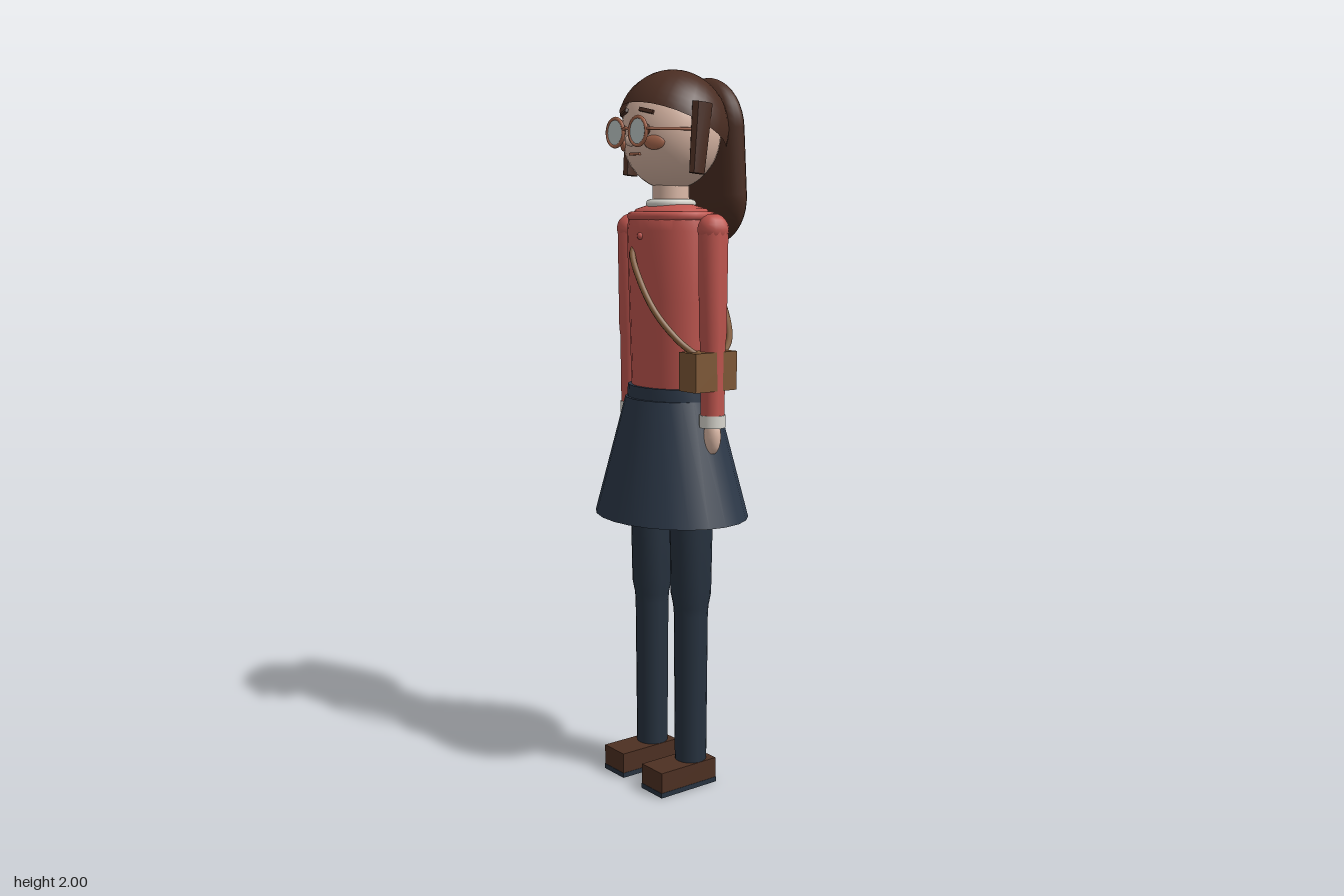
import * as THREE from 'three';
import { toCreasedNormals } from 'three/addons/utils/BufferGeometryUtils.js';

const mat = (name, color, side = THREE.FrontSide) => {
  const m = new THREE.MeshStandardMaterial({ color, side });
  m.name = name;
  return m;
};
const V = (x, y, z) => new THREE.Vector3(x, y, z);

export function createModel() {
  const sweater = mat('sweater red', 0xc0564f);
  const navy = mat('skirt navy', 0x2c3848);
  const tights = mat('tights navy', 0x27323f);
  const hair = mat('hair brown', 0x4a2d22, THREE.DoubleSide);
  const skin = mat('skin', 0xdbb8a6);
  const cloth = mat('collar white', 0xd8d6ce);
  const leather = mat('bag leather', 0x7d5736);
  const bronze = mat('bronze', 0xa8684e);
  const shoe = mat('shoe brown', 0x4d3022);
  const lens = mat('lens grey', 0xc3cccb);

  const model = new THREE.Group();
  model.name = 'standingGirl';

  const add = (name, geo, material, x = 0, y = 0, z = 0, parent = model) => {
    const mesh = new THREE.Mesh(geo, material);
    mesh.name = name;
    mesh.position.set(x, y, z);
    parent.add(mesh);
    return mesh;
  };
  // Turned profile of [radius, y] pairs, optionally flattened front to back
  const lathe = (pts, sides = 20, depth = 1) => toCreasedNormals(
    new THREE.LatheGeometry(pts.map(p => new THREE.Vector2(...p)), sides).scale(1, 1, depth), 0.6);
  const ball = (rx, ry, rz, w = 20, h = 14) => new THREE.SphereGeometry(1, w, h).scale(rx, ry, rz);
  const box = (w, h, d) => new THREE.BoxGeometry(w, h, d);
  const tube = (pts, r, n = 32, straight = false) => {
    const path = straight ? new THREE.CurvePath() : new THREE.CatmullRomCurve3(pts);
    if (straight) for (let i = 1; i < pts.length; i++) path.add(new THREE.LineCurve3(pts[i - 1], pts[i]));
    return new THREE.TubeGeometry(path, n, r, 8);
  };

  // Torso, rounded yoke and collar
  add('torso', lathe([[0, 1.12], [0.132, 1.12], [0.14, 1.38], [0.146, 1.57], [0.14, 1.605],
    [0.115, 1.628], [0.07, 1.64], [0, 1.64]], 24, 0.73), sweater);
  add('yokeSeam', new THREE.TorusGeometry(0.134, 0.012, 8, 28).rotateX(Math.PI / 2).scale(1, 1, 0.73), sweater, 0, 1.608, 0);
  add('collar', new THREE.TorusGeometry(0.058, 0.012, 8, 24).rotateX(Math.PI / 2), cloth, 0, 1.642, 0);
  add('button', ball(0.01, 0.01, 0.008, 10, 8), sweater, 0, 1.555, 0.106);
  add('neck', new THREE.CylinderGeometry(0.05, 0.052, 0.11, 20), skin, 0, 1.67, 0);

  // Skirt and waistband
  add('skirt', lathe([[0, 0.775], [0.243, 0.775], [0.145, 1.108], [0, 1.108]], 24, 0.82), navy);
  add('waistband', lathe([[0, 1.1], [0.146, 1.1], [0.143, 1.142], [0, 1.142]], 24, 0.75), navy);

  // Limbs, mirrored
  for (const s of [1, -1]) {
    const side = s > 0 ? 'left' : 'right';
    const leg = new THREE.Group();
    leg.name = side + 'Leg';
    leg.position.x = s * 0.091;
    model.add(leg);
    add('tights', lathe([[0, 0.06], [0.045, 0.06], [0.048, 0.5], [0.05, 0.525], [0.057, 0.56],
      [0.061, 0.79], [0, 0.79]], 18), tights, 0, 0, 0, leg);
    add('shoeUpper', box(0.092, 0.058, 0.194), shoe, 0, 0.043, 0.042, leg);
    add('shoeSole', box(0.094, 0.014, 0.196), tights, 0, 0.007, 0.042, leg);

    const arm = new THREE.Group();
    arm.name = side + 'Arm';
    arm.position.x = s * 0.183;
    model.add(arm);
    add('shoulder', ball(0.043, 0.043, 0.043, 12, 10), sweater, 0, 1.573, 0, arm);
    add('sleeve', lathe([[0, 1.07], [0.033, 1.07], [0.035, 1.27], [0.038, 1.29], [0.041, 1.575], [0, 1.575]], 14),
      sweater, 0, 0, 0, arm);
    add('cuff', new THREE.CylinderGeometry(0.036, 0.036, 0.034, 16), cloth, 0, 1.06, 0, arm);
    add('hand', ball(0.027, 0.05, 0.022, 14, 10), skin, 0, 1.018, 0, arm);
  }

  // Head and face
  add('head', ball(0.144, 0.155, 0.132, 28, 20), skin, 0, 1.834, 0);
  add('nose', ball(0.014, 0.016, 0.016, 12, 8), skin, 0, 1.808, 0.137);
  add('mouth', box(0.042, 0.007, 0.008), bronze, 0, 1.773, 0.122);
  for (const s of [1, -1]) {
    add('eye', ball(0.016, 0.016, 0.008, 12, 8), shoe, s * 0.05, 1.835, 0.123);
    add('cheek', ball(0.03, 0.02, 0.008, 14, 8), bronze, s * 0.07, 1.802, 0.11).rotation.y = s * 0.55;
    const brow = add('eyebrow', box(0.045, 0.01, 0.008), hair, s * 0.05, 1.884, 0.121);
    brow.rotation.set(-0.3, s * 0.35, -s * 0.12);
  }

  // Round glasses
  const glasses = new THREE.Group();
  glasses.name = 'glasses';
  model.add(glasses);
  for (const s of [1, -1]) {
    add('rim', new THREE.TorusGeometry(0.037, 0.005, 8, 24), bronze, s * 0.051, 1.83, 0.15, glasses);
    add('lens', new THREE.CylinderGeometry(0.035, 0.035, 0.004, 24).rotateX(Math.PI / 2), lens, s * 0.051, 1.83, 0.15, glasses);
    add('temple', tube([V(s * 0.086, 1.835, 0.15), V(s * 0.095, 1.835, 0.148), V(s * 0.132, 1.835, 0.08),
      V(s * 0.146, 1.835, 0.03)], 0.004, 16, true), bronze, 0, 0, 0, glasses);
  }
  add('bridge', tube([V(-0.016, 1.835, 0.15), V(0, 1.84, 0.153), V(0.016, 1.835, 0.15)], 0.004, 8), bronze, 0, 0, 0, glasses);

  // Hair: tilted cap, side locks and long back hair
  add('hairCap', new THREE.SphereGeometry(1, 28, 12, 0, Math.PI * 2, 0, Math.PI / 2)
    .rotateX(-0.44).scale(0.161, 0.16, 0.15), hair, 0, 1.84, -0.005);
  for (const s of [1, -1]) {
    const lock = add(s > 0 ? 'leftLock' : 'rightLock',
      toCreasedNormals(new THREE.CylinderGeometry(0.024, 0.018, 0.185, 8).scale(0.8, 1, 1.4), 0.6),
      hair, s * 0.149, 1.812, 0.02);
    lock.rotation.x = -0.1;
  }
  const tail = add('backHair', new THREE.CapsuleGeometry(0.137, 0.182, 10, 24).scale(1, 1, 0.42), hair, 0, 1.757, -0.138);
  tail.rotation.x = 0.06;

  // Shoulder bag with its strap crossing the body front and back
  add('bag', box(0.072, 0.105, 0.142), leather, 0.179, 1.197, 0.013);
  for (const s of [1, -1]) {
    add(s > 0 ? 'frontStrap' : 'backStrap', tube([V(-0.065, 1.54, s * 0.06), V(-0.04, 1.51, s * 0.102),
      V(0.02, 1.44, s * 0.124), V(0.09, 1.35, s * 0.12), V(0.15, 1.275, s * 0.085), V(0.175, 1.235, s * 0.04)], 0.009),
      leather);
  }
  return model;
}
